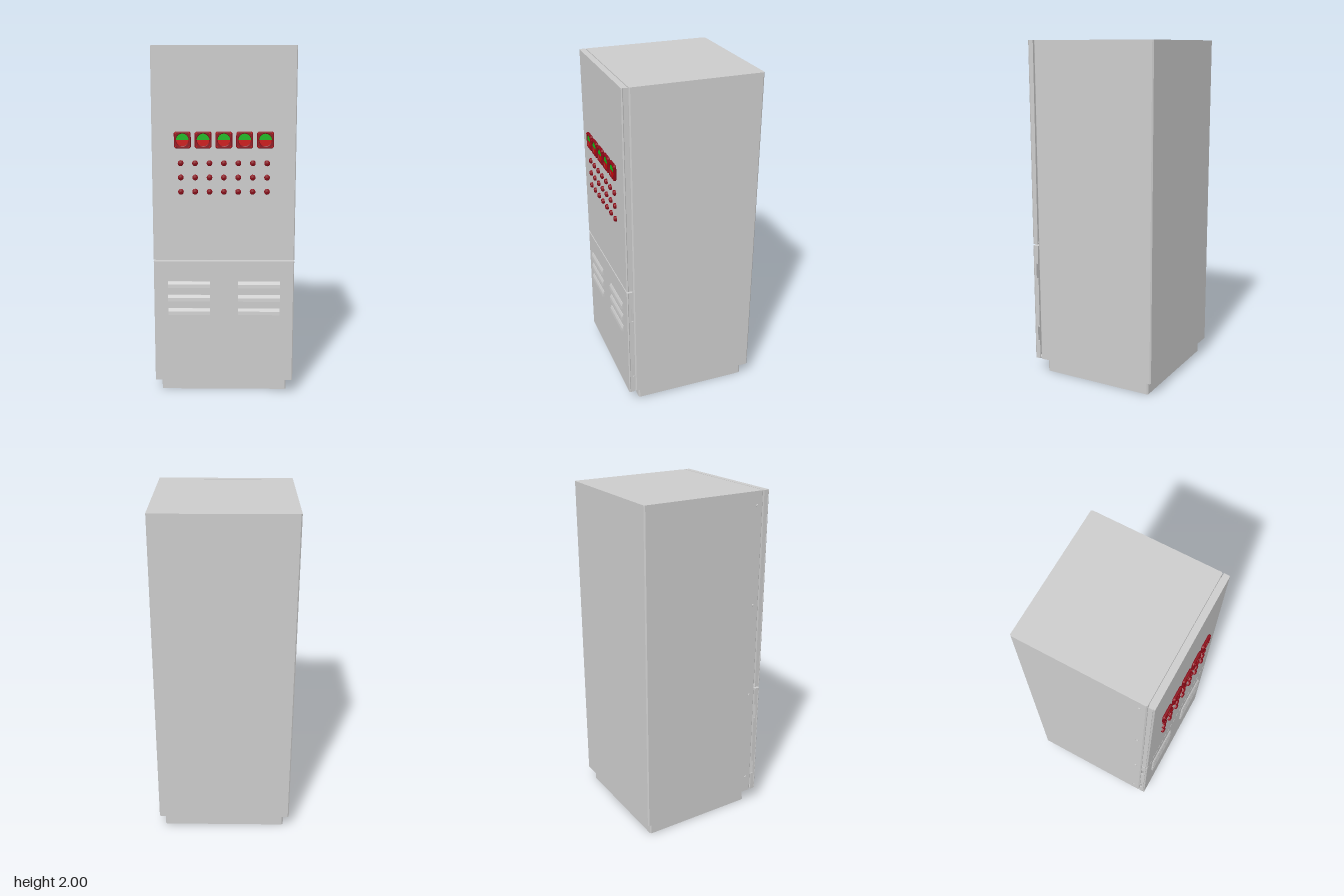
import * as THREE from 'three';

const mat = (color) => new THREE.MeshStandardMaterial({ color, flatShading: true });
const grey = mat(0xcccccc);
const red = mat(0xcc0808);
const darkRed = mat(0x8c0a18);
const green = mat(0x10b818);

function add(parent, name, geometry, material, x = 0, y = 0, z = 0) {
  const mesh = new THREE.Mesh(geometry, material);
  mesh.name = name;
  mesh.position.set(x, y, z);
  parent.add(mesh);
  return mesh;
}

// Rectangle centred on the origin with cut corners
function cutRect(w, h, c) {
  const a = w / 2, b = h / 2;
  return new THREE.Shape([
    [-a + c, -b], [a - c, -b], [a, -b + c], [a, b - c],
    [a - c, b], [-a + c, b], [-a, b - c], [-a, -b + c],
  ].map(([x, y]) => new THREE.Vector2(x, y)));
}

// Upright block with chamfered vertical edges
function uprightBlock(w, y0, y1, z0, z1, c) {
  const g = new THREE.ExtrudeGeometry(cutRect(w, z1 - z0, c), { depth: y1 - y0, bevelEnabled: false });
  g.rotateX(-Math.PI / 2);
  g.translate(0, y0, (z0 + z1) / 2);
  return g;
}

// Side profile given as [z, y] points, extruded along x around its centre
function sideProfile(points, width) {
  const shape = new THREE.Shape(points.map(([z, y]) => new THREE.Vector2(-z, y)));
  const g = new THREE.ExtrudeGeometry(shape, { depth: width, bevelEnabled: false });
  g.translate(0, 0, -width / 2);
  g.rotateY(Math.PI / 2);
  // local x (= -z) now points along -z, so the profile reads true
  return g;
}

// Sheet-metal door: front panel, top and bottom folds, side folds with optional notches
function door(name, y0, y1, notches) {
  const group = new THREE.Group();
  group.name = name;
  const back = 0.355, front = 0.39, t = 0.006;
  add(group, 'doorPanel', uprightBlock(0.8, y0, y1, front - 0.012, front, 0.005), grey);
  for (const y of [y0 + t / 2, y1 - t / 2]) {
    add(group, 'doorFold', new THREE.BoxGeometry(0.796, t, front - back - 0.01), grey, 0, y, (front + back - 0.01) / 2);
  }
  const outline = [[front - 0.01, y0], [front - 0.01, y1], [back, y1]];
  for (const [a, b] of notches) outline.push([back, b], [0.368, b], [0.368, a], [back, a]);
  outline.push([back, y0]);
  for (const s of [-1, 1]) add(group, 'doorSideFold', sideProfile(outline, t), grey, s * (0.4 - t / 2));
  return group;
}

// Square panel meter with a half-round green scale
function meter(x, y) {
  const group = new THREE.Group();
  group.name = 'meter';
  group.position.set(x, y, 0.39);
  const frame = cutRect(0.085, 0.085, 0.006);
  frame.holes.push(new THREE.Path().absarc(0, 0, 0.038, 0, Math.PI * 2, true));
  add(group, 'meterFrame', new THREE.ExtrudeGeometry(frame, {
    depth: 0.008, bevelThickness: 0.004, bevelSize: 0.004, bevelSegments: 1, curveSegments: 16,
  }), darkRed, 0, 0, 0.004);
  add(group, 'meterFace', new THREE.CircleGeometry(0.04, 32), red, 0, 0, 0.011);
  add(group, 'meterScale', new THREE.CircleGeometry(0.037, 24, 0, Math.PI), green, 0, 0, 0.013);
  for (const sx of [-1, 1]) for (const sy of [-1, 1]) {
    const screw = add(group, 'meterScrew', new THREE.CylinderGeometry(0.004, 0.004, 0.003, 8), red, sx * 0.037, sy * 0.037, 0.016);
    screw.rotation.x = Math.PI / 2;
  }
  return group;
}

export function createModel() {
  const model = new THREE.Group();
  model.name = 'controlCabinet';

  // Plinth and cabinet
  add(model, 'plinth', uprightBlock(0.735, 0, 0.087, -0.37, 0.32, 0.008), grey);
  add(model, 'cabinetBody', uprightBlock(0.8, 0.085, 2, -0.403, 0.35, 0.007), grey);
  add(model, 'doorSeal', new THREE.BoxGeometry(0.76, 1.88, 0.006), grey, 0, 1.043, 0.352);

  // Doors
  model.add(door('upperDoor', 0.81, 2, []));
  model.add(door('lowerDoor', 0.085, 0.8, [[0.6, 0.69], [0.2, 0.29]]));

  // Meters
  for (let i = -2; i <= 2; i++) model.add(meter(i * 0.1145, 1.491));

  // Indicator lamps
  const lamp = new THREE.LatheGeometry(
    [[0.016, 0], [0.016, 0.009], [0.012, 0.014], [0, 0.016]].map(([r, h]) => new THREE.Vector2(r, h)), 12);
  lamp.rotateX(Math.PI / 2);
  for (let row = 0; row < 3; row++) {
    for (let i = -3; i <= 3; i++) add(model, 'lamp', lamp, darkRed, i * 0.08, 1.362 - row * 0.08, 0.39);
  }

  // Louvres, sloping out towards the lower edge
  const louvre = sideProfile([[0.389, 0], [0.402, 0], [0.4, 0.02], [0.393, 0.037], [0.389, 0.037]], 0.24);
  for (const s of [-1, 1]) {
    for (let i = 0; i < 3; i++) add(model, 'louvre', louvre, grey, s * 0.2, 0.486 + i * 0.08, 0);
  }

  // Hinge pins on the right-hand side
  const pin = new THREE.CylinderGeometry(0.008, 0.008, 0.012, 12);
  pin.rotateZ(Math.PI / 2);
  for (const y of [1.92, 1.345, 0.77, 0.19]) add(model, 'hingePin', pin, grey, -0.4, y, 0.31);

  return model;
}
